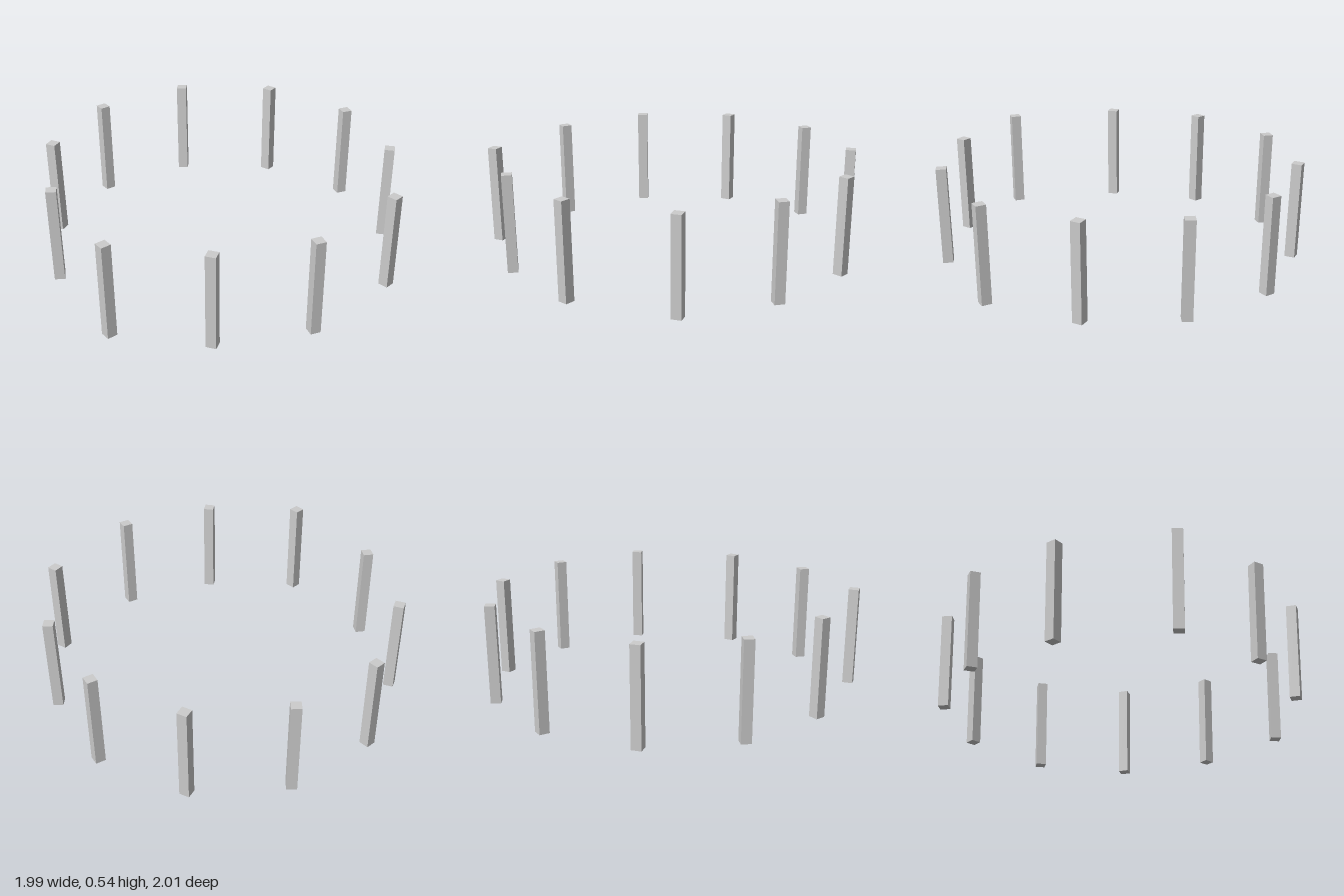
import * as THREE from 'three';

// Ring of slim square posts, each twisted and leaning slightly outward
const HEIGHT = 0.543, WIDTH = 0.056, LEAN = 0.022;

// x, z of the post's middle, twist in degrees
const POSTS = [
  [0.126, -0.961, -25], [0.609, -0.737, 33], [0.894, -0.287, 0], [0.949, 0.248, -33],
  [0.609, 0.741, 33], [0.126, 0.952, -8], [-0.405, 0.957, -42], [-0.808, 0.493, 14],
  [-0.957, -0.018, -16], [-0.808, -0.533, -44], [-0.405, -0.885, 5],
];

export function createModel() {
  const group = new THREE.Group();
  group.name = 'postRing';
  const material = new THREE.MeshStandardMaterial({ color: 0xcccccc, flatShading: true });
  const geometry = new THREE.BoxGeometry(WIDTH, HEIGHT, WIDTH);

  POSTS.forEach(([x, z, twist], i) => {
    const post = new THREE.Mesh(geometry, material);
    post.name = `post${i + 1}`;
    post.position.set(x, HEIGHT / 2, z);
    post.rotation.y = THREE.MathUtils.degToRad(twist);
    // tip the top away from the centre of the ring
    post.rotateOnWorldAxis(new THREE.Vector3(z, 0, -x).normalize(), LEAN);
    group.add(post);
  });
  return group;
}
